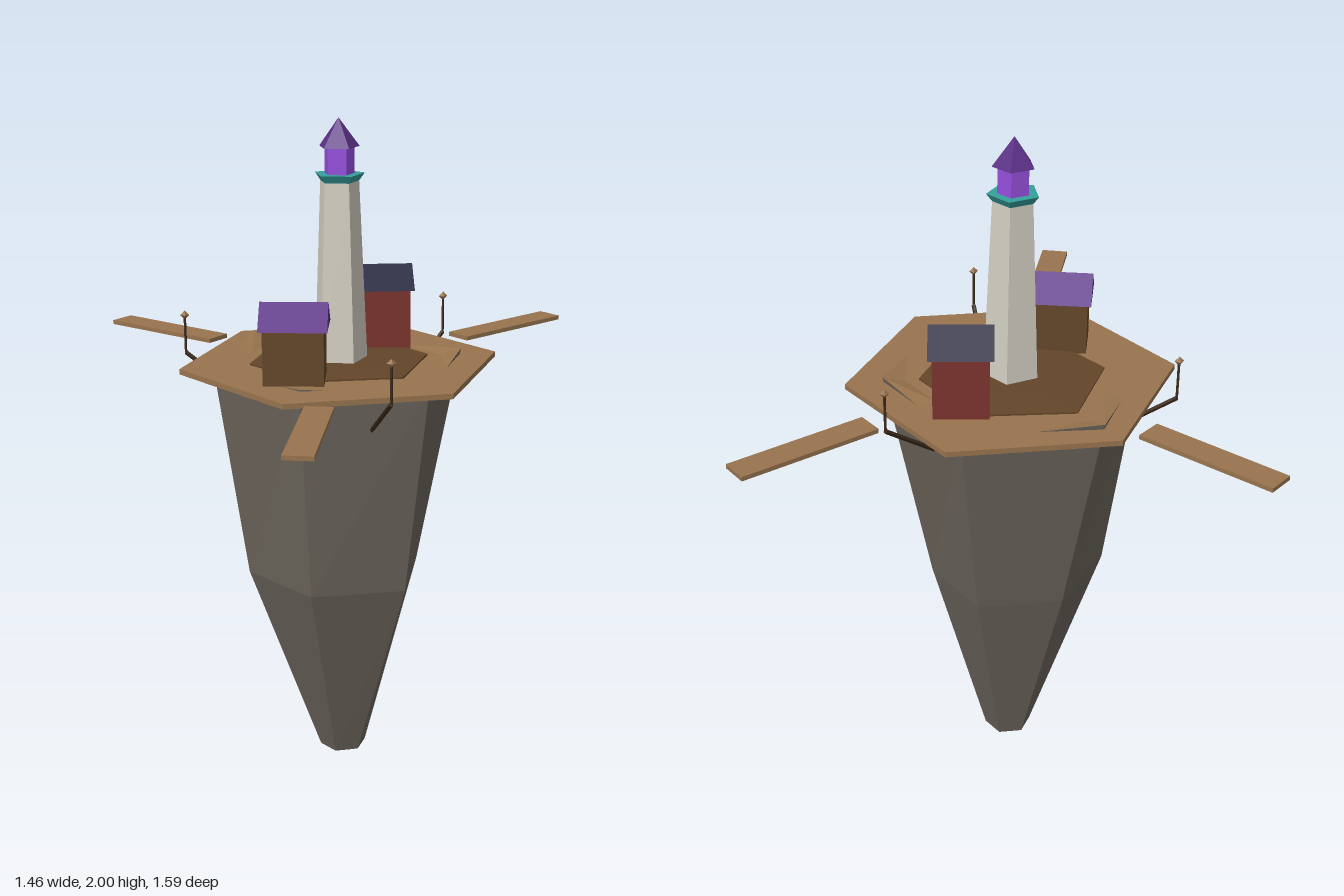
import * as THREE from 'three';

const CX = -0.0925, CZ = -0.0875; // axis of rock, deck and tower
const mat = (name, color) => {
  const m = new THREE.MeshStandardMaterial({ color, flatShading: true });
  m.name = name;
  return m;
};

// Faceted solid through stacked rings of points, optionally capped
function loft(rings, capBottom, capTop) {
  const pos = [];
  const tri = (...p) => p.forEach(q => pos.push(...q));
  const n = rings[0].length;
  const centre = r => [0, 1, 2].map(k => r.reduce((s, p) => s + p[k], 0) / n);
  for (let i = 0; i < rings.length - 1; i++) {
    for (let j = 0; j < n; j++) {
      const k = (j + 1) % n, lo = rings[i], hi = rings[i + 1];
      tri(lo[j], hi[j], lo[k]);
      tri(lo[k], hi[j], hi[k]);
    }
  }
  const first = rings[0], last = rings[rings.length - 1];
  for (let j = 0; j < n; j++) {
    const k = (j + 1) % n;
    if (capBottom) tri(centre(first), first[j], first[k]);
    if (capTop) tri(centre(last), last[k], last[j]);
  }
  const g = new THREE.BufferGeometry();
  g.setAttribute('position', new THREE.Float32BufferAttribute(pos, 3));
  g.computeVertexNormals();
  return g;
}

// Six-cornered ring with its own radius and height at each corner
const ring = (radii, y) => radii.map((r, i) => {
  const a = i * Math.PI / 3;
  return [CX + r * Math.cos(a), Array.isArray(y) ? y[i] : y, CZ + r * Math.sin(a)];
});

export function createModel() {
  const model = new THREE.Group();
  model.name = 'cliffLighthouse';
  const rock = mat('rock', 0x6b645b), wood = mat('wood', 0x98744e), earth = mat('earth', 0x644629);
  const stone = mat('towerStone', 0xd2cec2), teal = mat('tealTrim', 0x35a09c);
  const purple = mat('purpleRoof', 0x5b2f86), glow = mat('lanternGlow', 0x9650de);
  const red = mat('redWall', 0x7c342e), navy = mat('navyRoof', 0x25263f), dark = mat('darkTimber', 0x3d2c1c);

  const add = (name, geo, material, parent = model, x = 0, y = 0, z = 0) => {
    const m = new THREE.Mesh(geo, material);
    m.name = name;
    m.position.set(x, y, z);
    parent.add(m);
    return m;
  };

  // Tapering rock spire; a few top corners poke through the deck
  const topR = [0.375, 0.385, 0.355, 0.38, 0.41, 0.38];
  const topY = [1.296, 1.262, 1.285, 1.262, 1.296, 1.262];
  const top = ring(topR, topY);
  add('rockSpire', loft([
    ring(Array(6).fill(0.072), 0),
    ring([0.24, 0.29, 0.28, 0.29, 0.255, 0.255], 0.62),
    top
  ], true, false), rock);
  const inner = topR.map(r => r * 0.72);
  add('rockTop', loft([top, ring(inner, 1.27)], false, true), wood);
  add('earthMound', loft([ring(inner, 1.272), ring(inner, 1.285),
    ring(inner.map(r => r * 0.5), 1.289)], false, true), earth);

  // Hexagonal deck
  add('deck', new THREE.CylinderGeometry(0.483, 0.483, 0.016, 6, 1, false, Math.PI / 2),
    wood, model, CX, 1.272, CZ);

  // Five-sided lighthouse tower
  const tower = new THREE.Group();
  tower.name = 'tower';
  tower.position.set(CX, 0, CZ);
  model.add(tower);
  [['towerShaft', 0.06, 0.084, 1.27, 1.822, stone],
    ['gallery', 0.077, 0.058, 1.815, 1.84, teal],
    ['lantern', 0.046, 0.046, 1.84, 1.92, glow],
    ['towerRoof', 0, 0.062, 1.917, 2, purple]].forEach(([name, rt, rb, y0, y1, m]) =>
    add(name, new THREE.CylinderGeometry(rt, rb, y1 - y0, 5, 1, false, Math.PI / 2),
      m, tower, 0, (y0 + y1) / 2, 0));

  // Gabled huts, ridge along local x
  const hut = (name, x, z, turn, body, roof, eaves, ridge, wall, cover) => {
    const g = new THREE.Group();
    g.name = name;
    g.position.set(x, 0, z);
    g.rotation.y = turn;
    model.add(g);
    const h = eaves + 0.006 - 1.27;
    add(name + 'Walls', new THREE.BoxGeometry(body[0], h, body[1]), wall, g, 0, 1.27 + h / 2, 0);
    const s = new THREE.Shape([[-roof[1] / 2, 0], [roof[1] / 2, 0], [0, ridge - eaves]]
      .map(p => new THREE.Vector2(...p)));
    const geo = new THREE.ExtrudeGeometry(s, { depth: roof[0], bevelEnabled: false });
    geo.translate(0, 0, -roof[0] / 2).rotateY(Math.PI / 2);
    add(name + 'Roof', geo, cover, g, 0, eaves, 0);
  };
  hut('brownHut', -0.261, 0.1, -0.24, [0.175, 0.135], [0.197, 0.167], 1.44, 1.51, earth, purple);
  hut('redHut', 0.075, -0.257, -0.13, [0.158, 0.155], [0.182, 0.18], 1.465, 1.532, red, navy);

  // Floating landing planks, each from its inner to its outer end
  [[-0.415, -0.453, -0.697, -0.768], [0.335, -0.32, 0.708, -0.528], [-0.24, 0.372, -0.368, 0.778]]
    .forEach(([x0, z0, x1, z1]) => {
      const len = Math.hypot(x1 - x0, z1 - z0);
      const p = add('plank', new THREE.BoxGeometry(len, 0.013, 0.083), wood, model,
        (x0 + x1) / 2, 1.273, (z0 + z1) / 2);
      p.rotation.y = Math.atan2(z0 - z1, x1 - x0);
    });

  // Lamp posts on struts that run back to the rock
  const beam = (name, a, b, r) => {
    const m = add(name, new THREE.CylinderGeometry(r, r, a.distanceTo(b), 5), dark);
    m.position.copy(a).add(b).multiplyScalar(0.5);
    m.quaternion.setFromUnitVectors(new THREE.Vector3(0, 1, 0), b.clone().sub(a).normalize());
  };
  [[0.297, -0.37], [-0.535, -0.285], [-0.043, 0.393]].forEach(([x, z]) => {
    const foot = new THREE.Vector3(x, 1.278, z);
    const inward = new THREE.Vector3(CX - x, 0, CZ - z).normalize().multiplyScalar(0.185);
    beam('lampStrut', foot.clone().add(inward).setY(1.145), foot, 0.007);
    beam('lampPost', foot, foot.clone().setY(1.39), 0.004);
    add('lamp', new THREE.OctahedronGeometry(0.014), wood, model, x, 1.395, z);
  });

  return model;
}
